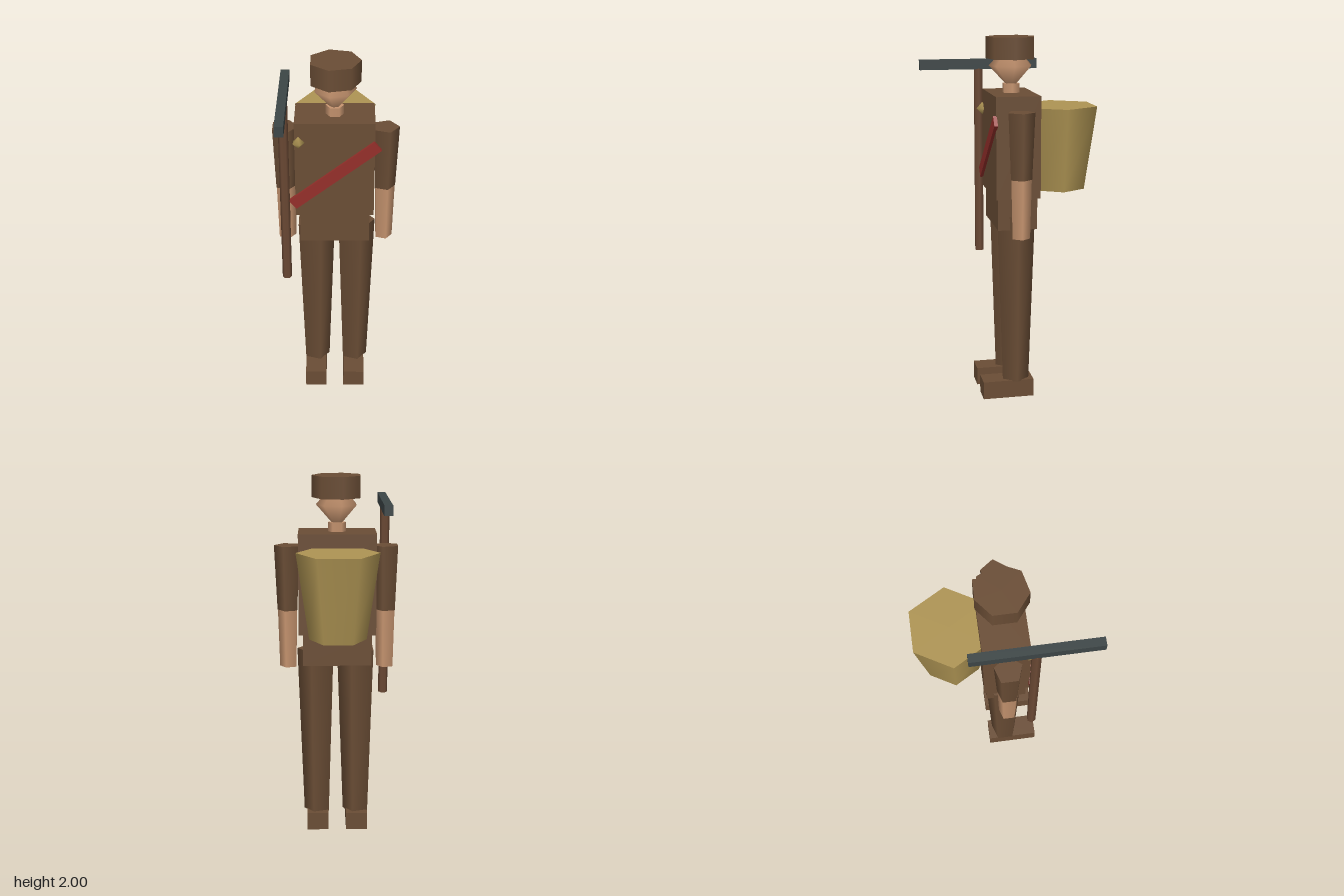
import * as THREE from 'three';

const mat = (name, color) => {
  const m = new THREE.MeshStandardMaterial({ color });
  m.name = name;
  return m;
};

export function createModel() {
  const cloth = mat('brown cloth', 0x6a4d35);
  const wood = mat('wood', 0x6b4934);
  const skin = mat('skin', 0xc6946f);
  const straw = mat('straw', 0xae9453);
  const red = mat('red sash', 0x942f2a);
  const iron = mat('dark iron', 0x3c4546);

  const model = new THREE.Group();
  model.name = 'porter';

  const add = (name, geometry, material, x, y, z) => {
    const mesh = new THREE.Mesh(geometry, material);
    mesh.name = name;
    mesh.position.set(x, y, z);
    model.add(mesh);
    return mesh;
  };
  const box = (name, material, w, h, d, x, y, z) =>
    add(name, new THREE.BoxGeometry(w, h, d), material, x, y, z);
  // Upright tapered prism with one corner towards +x
  const prism = (name, material, sides, rTop, rBottom, y0, y1, x, z) =>
    add(name, new THREE.CylinderGeometry(rTop, rBottom, y1 - y0, sides, 1, false, Math.PI / 2),
      material, x, (y0 + y1) / 2, z);
  // Low-poly double cone with one corner towards +x
  const gem = (name, material, sides, rx, ry, rz, x, y, z) => {
    const mesh = add(name, new THREE.SphereGeometry(1, sides, 2, Math.PI), material, x, y, z);
    mesh.scale.set(rx, ry, rz);
    return mesh;
  };

  const cx = -0.01, cz = -0.005; // body axis

  // Body
  box('torso', cloth, 0.42, 0.55, 0.242, cx, 1.425, cz);
  box('hips', cloth, 0.375, 0.175, 0.215, cx, 1.0635, cz);

  // Limbs
  for (const [side, s] of [['left', 1], ['right', -1]]) {
    const legX = cx + s * 0.11, armX = cx + s * 0.267;
    prism(side + 'Leg', cloth, 5, 0.11, 0.077, 0.095, 1.05, legX, cz);
    box(side + 'Boot', cloth, 0.12, 0.1, 0.285, legX, 0.05, 0.0415);
    prism(side + 'Sleeve', cloth, 5, 0.075, 0.06, 1.27, 1.625, armX, cz);
    prism(side + 'Forearm', skin, 5, 0.058, 0.05, 0.95, 1.27, armX, cz);
  }

  // Head
  prism('neck', skin, 6, 0.048, 0.048, 1.7, 1.75, cx, cz);
  gem('head', skin, 7, 0.114, 0.13, 0.121, cx, 1.845, cz);
  prism('hat', cloth, 7, 0.137, 0.137, 1.883, 2, cx, cz);

  // Back basket
  prism('basket', straw, 6, 0.22, 0.152, 1.165, 1.625, cx, -0.27);

  // Sash and badge
  box('sash', red, 0.572, 0.063, 0.02, cx, 1.4, 0.122).rotation.z = 0.667;
  gem('badge', straw, 5, 0.034, 0.034, 0.034, -0.199, 1.594, 0.122);

  // Long-handled tool
  prism('toolHandle', wood, 6, 0.026, 0.026, 0.755, 1.81, -0.275, 0.13);
  box('toolHead', iron, 0.046, 0.055, 0.662, -0.275, 1.8325, 0.13);

  return model;
}
